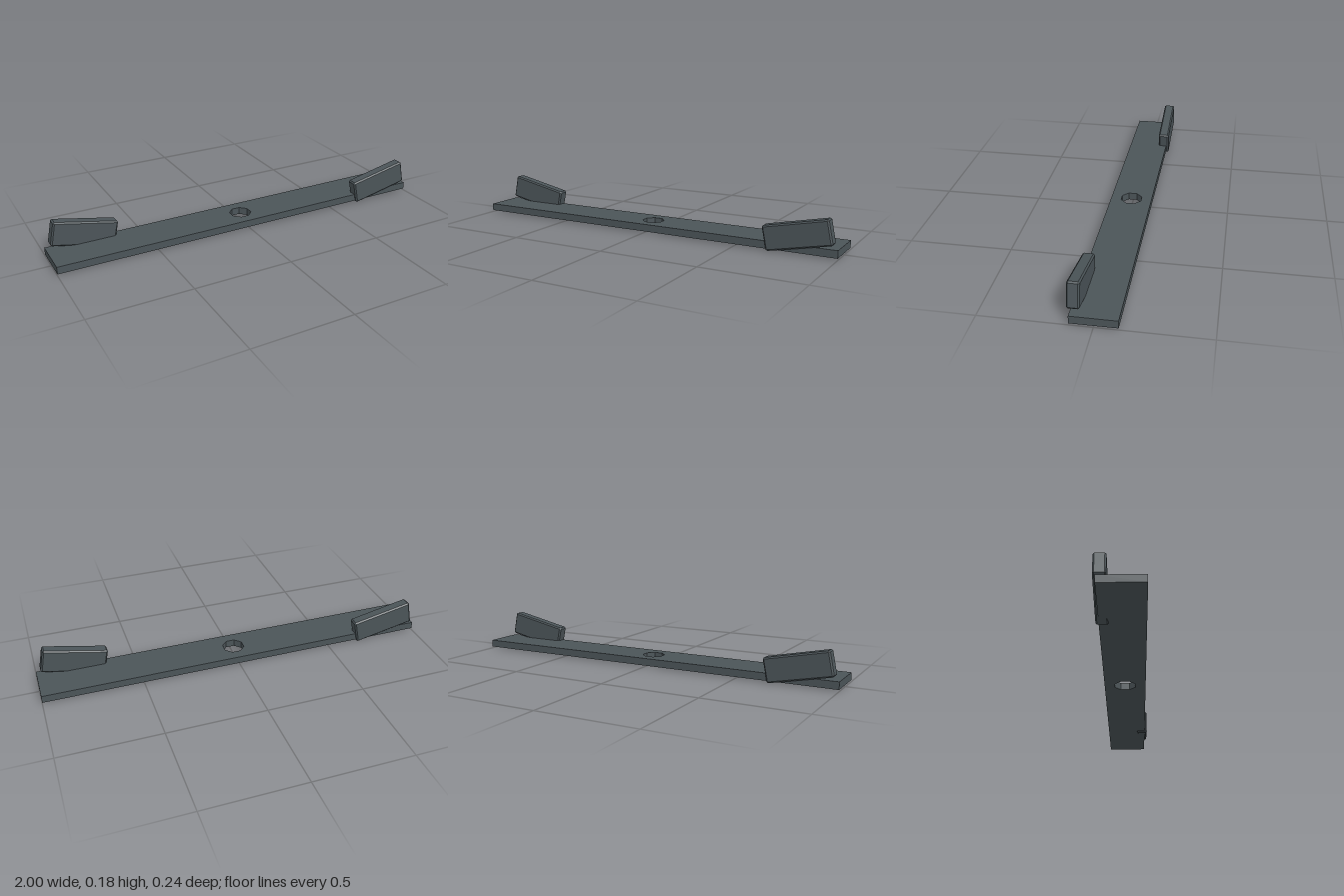
import * as THREE from 'three';
import { ConvexGeometry } from 'three/addons/geometries/ConvexGeometry.js';

// Box with every edge and corner cut by a flat chamfer
function chamferBox(w, h, d, c) {
  const points = [];
  for (const sx of [-1, 1]) for (const sy of [-1, 1]) for (const sz of [-1, 1]) {
    const x = w / 2, y = h / 2, z = d / 2;
    points.push(
      new THREE.Vector3(sx * x, sy * (y - c), sz * (z - c)),
      new THREE.Vector3(sx * (x - c), sy * y, sz * (z - c)),
      new THREE.Vector3(sx * (x - c), sy * (y - c), sz * z));
  }
  return new ConvexGeometry(points);
}

export function createModel() {
  const group = new THREE.Group();
  group.name = 'cuttingBar';
  const steel = new THREE.MeshStandardMaterial({ color: 0x4b5458, flatShading: true });
  steel.name = 'dark steel';

  // Flat bar with an eight-sided mounting hole
  const outline = new THREE.Shape([
    new THREE.Vector2(-1, -0.105), new THREE.Vector2(1, -0.105),
    new THREE.Vector2(1, 0.105), new THREE.Vector2(-1, 0.105)]);
  const hole = [];
  for (let i = 0; i < 8; i++) {
    const a = -(i + 0.5) * Math.PI / 4;
    hole.push(new THREE.Vector2(0.056 * Math.cos(a), 0.056 * Math.sin(a)));
  }
  outline.holes.push(new THREE.Path(hole));
  const barGeometry = new THREE.ExtrudeGeometry(outline, { depth: 0.037, bevelEnabled: false });
  barGeometry.rotateX(-Math.PI / 2);
  const bar = new THREE.Mesh(barGeometry, steel);
  bar.name = 'bar';
  bar.position.y = 0.013;
  group.add(bar);

  // Tilted fins at opposite corners, half a turn apart
  const finGeometry = chamferBox(0.322, 0.122, 0.057, 0.007);
  finGeometry.rotateZ(THREE.MathUtils.degToRad(11.8));
  finGeometry.translate(0.809, 0.096, 0.09);
  ['leftFin', 'rightFin'].forEach((name, i) => {
    const fin = new THREE.Mesh(finGeometry, steel);
    fin.name = name;
    fin.rotation.y = i * Math.PI;
    group.add(fin);
  });
  return group;
}
